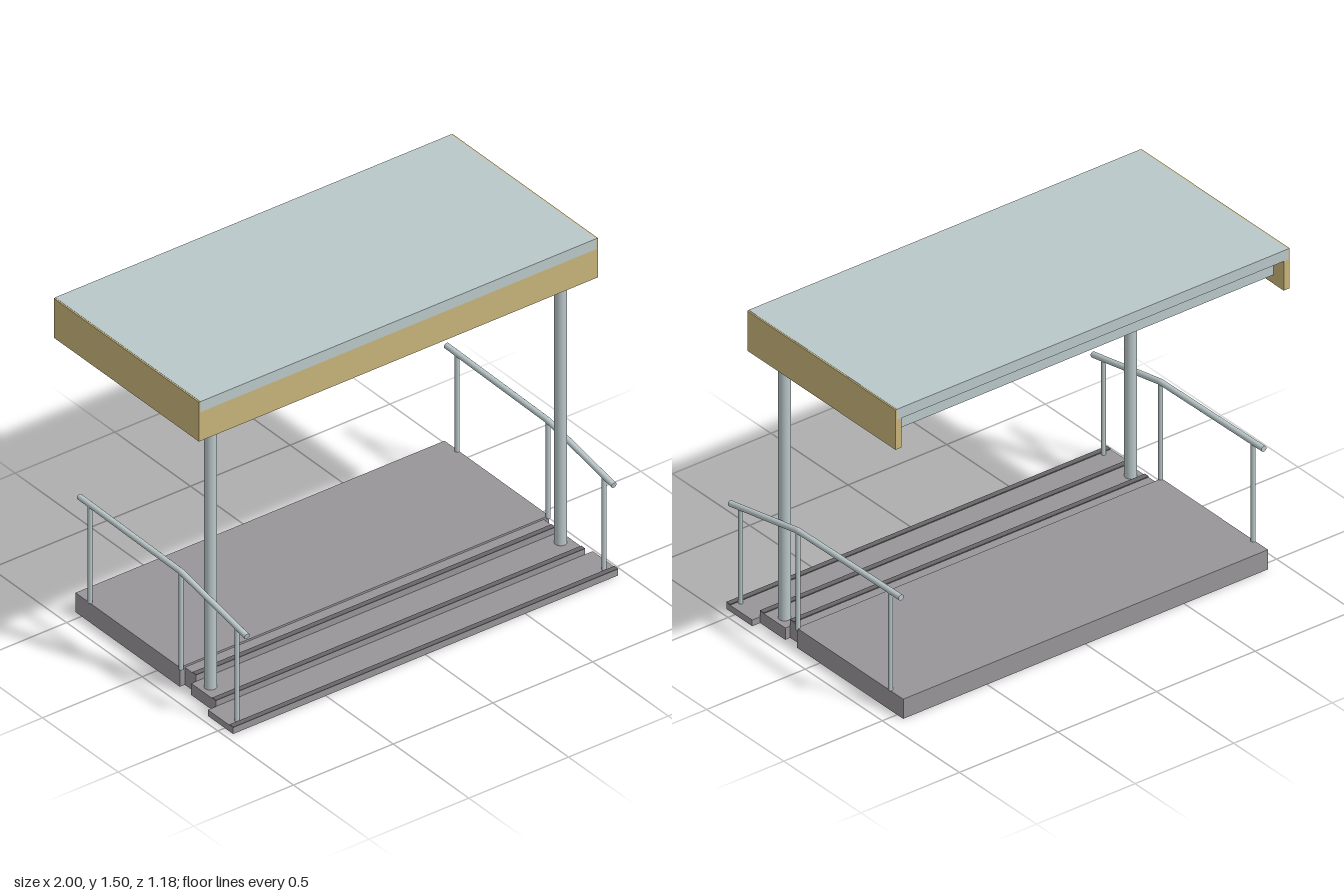
import * as THREE from 'three';

export function createModel() {
  const root = new THREE.Group();
  root.name = 'porchWithCanopy';

  const material = (name, color) => {
    const m = new THREE.MeshStandardMaterial({ color });
    m.name = name;
    return m;
  };
  const metal = material('paleMetal', 0xbac7c9);
  const wood = material('tanWood', 0xc9b47a);
  const concrete = material('greyConcrete', 0x989598);
  const grip = material('darkGrip', 0x686668);

  const add = (name, geometry, mat) => {
    const mesh = new THREE.Mesh(geometry, mat);
    mesh.name = name;
    root.add(mesh);
    return mesh;
  };
  // Box given by its limits on each axis
  const box = (name, mat, x0, x1, y0, y1, z0, z1) => {
    const g = new THREE.BoxGeometry(x1 - x0, y1 - y0, z1 - z0);
    g.translate((x0 + x1) / 2, (y0 + y1) / 2, (z0 + z1) / 2);
    return add(name, g, mat);
  };
  // Round bar between two points
  const bar = (name, mat, a, b, r, sides = 20) => {
    const from = new THREE.Vector3(...a);
    const dir = new THREE.Vector3(...b).sub(from);
    const mesh = add(name, new THREE.CylinderGeometry(r, r, dir.length(), sides), mat);
    mesh.position.copy(from).addScaledVector(dir, 0.5);
    mesh.quaternion.setFromUnitVectors(new THREE.Vector3(0, 1, 0), dir.normalize());
    return mesh;
  };

  // Platform and three steps with dark nosing strips
  box('platform', concrete, -0.925, 0.925, 0, 0.092, -0.54, 0.15);
  const steps = [
    ['upperStep', 0.9, 0.083, 0.15, 0.225],
    ['middleStep', 0.925, 0.055, 0.225, 0.388],
    ['lowerStep', 0.965, 0.029, 0.388, 0.555],
  ];
  for (const [name, hx, top, z0, z1] of steps) {
    box(name, concrete, -hx, hx, 0, top, z0, z1);
    box(name + 'Nosing', grip, -hx, hx, top, top + 0.004, z1 - 0.024, z1 + 0.001);
  }

  // Canopy: roof slab, fascia boards and recessed ceiling
  box('roofSlab', metal, -0.993, 0.993, 1.45, 1.5, -0.586, 0.376);
  box('frontFascia', wood, -0.97, 0.97, 1.312, 1.45, 0.345, 0.375);
  box('ceilingBox', metal, -0.97, 0.97, 1.355, 1.45, -0.52, 0.345);

  // Ceiling lights, two rows of three
  for (const x of [-0.51, 0, 0.51]) {
    for (const z of [-0.31, 0.1]) {
      bar('ceilingLight', metal, [x, 1.347, z], [x, 1.357, z], 0.04, 28);
    }
  }

  // Parts mirrored on both sides
  for (const s of [1, -1]) {
    box('sideFascia', wood, s > 0 ? 0.97 : -1, s > 0 ? 1 : -0.97, 1.312, 1.499, -0.585, 0.375);
    bar('column', metal, [s * 0.878, 0.05, 0.29], [s * 0.878, 1.36, 0.29], 0.026, 32);

    const x = s * 0.92;
    bar('railPost', metal, [x, 0.028, 0.52], [x, 0.475, 0.52], 0.01);
    bar('railPost', metal, [x, 0.083, 0.15], [x, 0.545, 0.15], 0.01);
    bar('railPost', metal, [x, 0.09, -0.45], [x, 0.555, -0.45], 0.01);

    // Handrail: sloped front run, nearly level back run
    bar('handrailSlope', metal, [x, 0.463, 0.587], [x, 0.547, 0.15], 0.013);
    bar('handrailLevel', metal, [x, 0.547, 0.15], [x, 0.557, -0.52], 0.013);
    const joint = add('handrailJoint', new THREE.SphereGeometry(0.013, 16, 12), metal);
    joint.position.set(x, 0.547, 0.15);
  }

  return root;
}
